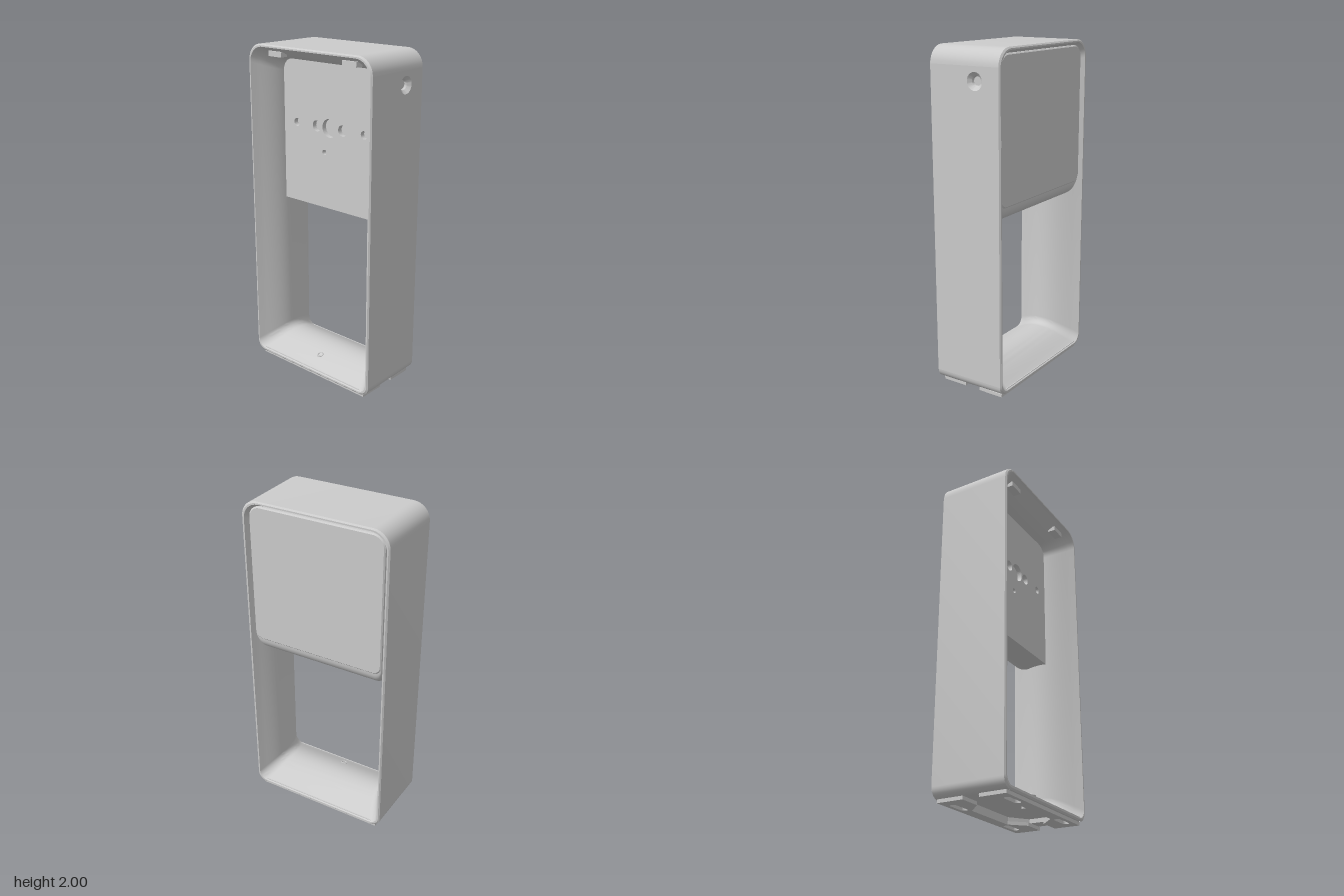
import * as THREE from 'three';
import { toCreasedNormals } from 'three/addons/utils/BufferGeometryUtils.js';

const N = 8; // segments per rounded corner
const H = Math.PI / 2;

// Rounded rectangle in the z-y plane at a given x; separate bottom and top radii
function ring(x, hz, y0, y1, rb, rt) {
  const pts = [];
  const corners = [[hz - rb, y0 + rb, rb], [hz - rt, y1 - rt, rt], [rt - hz, y1 - rt, rt], [rb - hz, y0 + rb, rb]];
  corners.forEach(([cz, cy, r], k) => {
    for (let i = 0; i <= N; i++) {
      const a = (k - 1 + i / N) * H;
      pts.push([x, cy + r * Math.sin(a), cz + r * Math.cos(a)]);
    }
  });
  return pts;
}

// Skin a series of rings; skip(i, j) leaves a gap in the surface
function skin(rings, skip = () => false) {
  const pos = [];
  for (let i = 0; i < rings.length - 1; i++) {
    const A = rings[i], B = rings[i + 1];
    for (let j = 0; j < A.length; j++) {
      if (skip(i, j)) continue;
      const k = (j + 1) % A.length;
      pos.push(...A[j], ...B[j], ...A[k], ...A[k], ...B[j], ...B[k]);
    }
  }
  const g = new THREE.BufferGeometry();
  g.setAttribute('position', new THREE.Float32BufferAttribute(pos, 3));
  return toCreasedNormals(g, 0.5);
}

const poly = (pts) => new THREE.Shape(pts.map(([x, y]) => new THREE.Vector2(x, y)));

function circle(x, y, r) {
  return new THREE.Path().absarc(x, y, r, 0, Math.PI * 2, true);
}

// Long rounded slot along the second axis
function slot(x, y, r, half) {
  const p = new THREE.Path();
  p.absarc(x, y + half, r, 0, Math.PI, false);
  p.absarc(x, y - half, r, Math.PI, Math.PI * 2, false);
  p.closePath();
  return p;
}

export function createModel() {
  const group = new THREE.Group();
  const mat = new THREE.MeshStandardMaterial({ color: 0xcccccc, side: THREE.DoubleSide });
  const add = (name, geo, x = 0, y = 0, z = 0) => {
    const m = new THREE.Mesh(geo, mat);
    m.name = name;
    m.position.set(x, y, z);
    group.add(m);
    return m;
  };

  // Frame: tapered outer shell and an inner wall that swells at mid depth
  const halfZ = (x) => 0.46 - 0.022 * x;
  const frameRing = (x, d) =>
    ring(x, halfZ(x) - d, 0.02 + d * 1.1, 2 - d, 0.06 - 0.15 * d, 0.1 - 0.3 * d);
  const rings = [[-0.23, 0.008], [-0.222, 0], [0.222, 0], [0.23, 0.008], [0.23, 0.016]].map((p) => frameRing(...p));
  for (let i = 0; i <= 20; i++) {
    const x = 0.2 - 0.02 * i;
    rings.push(frameRing(x, 0.03 + 0.07 * Math.cos((x / 0.2) * H)));
  }
  rings.push(frameRing(-0.23, 0.016), frameRing(-0.23, 0.008));
  const last = 4 * (N + 1) - 1;
  add('frame', skin(rings, (i, j) => i === 1 && (j === N || j === last)));

  // Front wall with a round port
  const wall = poly([[-0.222, 0.08], [0.222, 0.08], [0.222, 1.9], [-0.222, 1.9]]);
  wall.holes.push(circle(0.07, 1.82, 0.05));
  const wallGeo = new THREE.ShapeGeometry(wall, 24);
  const wp = wallGeo.attributes.position;
  for (let i = 0; i < wp.count; i++) wp.setZ(i, halfZ(wp.getX(i)));
  wallGeo.computeVertexNormals();
  add('frontWall', wallGeo);
  const port = new THREE.LatheGeometry(
    [[0, 0], [0.025, 0], [0.03, 0.012], [0.05, 0.031]].map(([r, y]) => new THREE.Vector2(r, y)), 32);
  add('portSocket', toCreasedNormals(port.rotateX(H), 0.4), 0.07, 1.82, 0.428);

  // Head block: flat face with a lower edge that curls under
  const block = [ring(-0.01, 0.42, 1.04, 1.965, 0.05, 0.07)];
  for (let i = 0; i <= 10; i++) {
    const a = (i / 10) * H;
    block.push(ring(0.1 + 0.105 * Math.sin(a), 0.42, 1.13 - 0.09 * Math.cos(a), 1.965, 0.05, 0.07));
  }
  block.push(ring(0.212, 0.413, 1.137, 1.958, 0.045, 0.065));
  add('headBlock', skin(block));
  [['headFace', 0.212, 0.413, 1.137, 1.958], ['headInner', -0.01, 0.42, 1.04, 1.965]].forEach(([name, x, hz, y0, y1]) => {
    const outline = poly(ring(x, hz, y0, y1, 0.045, 0.065).map((p) => [-p[2], p[1]]));
    add(name, new THREE.ShapeGeometry(outline).rotateY(H), x);
  });

  // Mounting plate behind the block with its holes
  const plate = poly([[-0.4, 1.04], [0.4, 1.04], [0.4, 1.93], [-0.4, 1.93]]);
  [[0, 1.53, 0.055], [0.1, 1.53, 0.033], [-0.1, 1.53, 0.033], [0.26, 1.53, 0.024], [-0.26, 1.53, 0.024], [-0.04, 1.38, 0.016]]
    .forEach((h) => plate.holes.push(circle(...h)));
  const plateGeo = new THREE.ExtrudeGeometry(plate, { depth: 0.03, bevelEnabled: false, curveSegments: 20 });
  add('mountingPlate', plateGeo.rotateY(-H), -0.01);

  // Small catches under the top
  for (const s of [-1, 1]) add('catch', new THREE.BoxGeometry(0.05, 0.03, 0.1), -0.17, 1.945, 0.28 * s);

  // Underside with a chamfered pocket
  const flat = (shape, depth) =>
    new THREE.ExtrudeGeometry(shape, { depth, bevelEnabled: false, curveSegments: 8 }).rotateX(H);
  const under = poly([[-0.222, -0.4], [0.222, -0.4], [0.222, 0.4], [-0.222, 0.4]]);
  under.holes.push(poly([[-0.14, -0.2], [-0.06, -0.31], [0.06, -0.31], [0.14, -0.2],
    [0.14, 0.2], [0.06, 0.31], [-0.06, 0.31], [-0.14, 0.2]]));
  add('underside', flat(under, 0.025), 0, 0.045);
  add('pocketRoof', new THREE.BoxGeometry(0.32, 0.01, 0.66), 0, 0.05);
  add('screwBoss', new THREE.CylinderGeometry(0.025, 0.025, 0.03, 20), -0.13 + 0.04, 0.035);

  // Foot rails either side of a central channel, each with two slots
  for (const s of [-1, 1]) {
    const rail = poly([[0.05, -0.42], [0.21, -0.42], [0.21, 0.42], [0.05, 0.42],
      [0.05, 0.28], [0.14, 0.19], [0.14, -0.19], [0.05, -0.28]].map(([x, z]) => [x * s, z]));
    for (const e of [-1, 1]) rail.holes.push(slot(0.165 * s, 0.28 * e, 0.02, 0.05));
    add('footRail', flat(rail, 0.02), 0, 0.02);
  }

  // Fixing hole rim in the base
  add('baseHole', new THREE.TorusGeometry(0.017, 0.004, 8, 24).rotateX(H).rotateZ(0.3), -0.13, 0.095, 0);

  return group;
}
